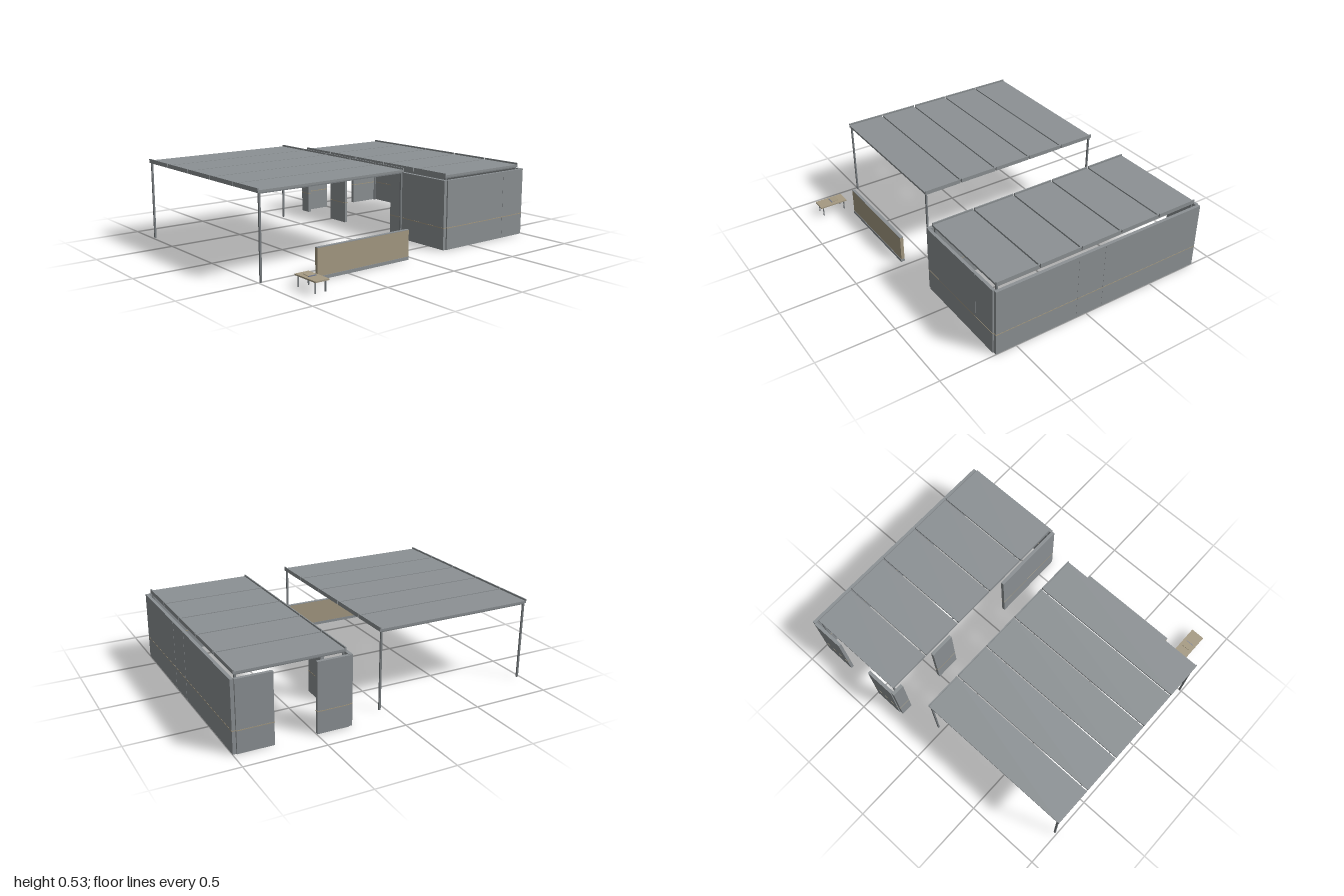
import * as THREE from 'three';

const mat = (name, color) => {
  const m = new THREE.MeshStandardMaterial({ color });
  m.name = name;
  return m;
};

export function createModel() {
  const model = new THREE.Group();
  model.name = 'pavilion';
  const panelGrey = mat('panelGrey', 0x8c9194);
  const frameGrey = mat('frameGrey', 0x7b8083);
  const tan = mat('tan', 0xa59a82);
  const blueGrey = mat('blueGrey', 0x7c8296);

  const group = (name) => {
    const g = new THREE.Group();
    g.name = name;
    model.add(g);
    return g;
  };

  // Box given by its low and high corners
  const box = (parent, name, m, x0, x1, y0, y1, z0, z1) => {
    const mesh = new THREE.Mesh(new THREE.BoxGeometry(x1 - x0, y1 - y0, z1 - z0), m);
    mesh.position.set((x0 + x1) / 2, (y0 + y1) / 2, (z0 + z1) / 2);
    mesh.name = name;
    parent.add(mesh);
    return mesh;
  };

  // Wall panel with a thin tan stripe around it
  const H = 0.44, e = 0.001;
  const wall = (name, x0, x1, z0, z1) => {
    const g = group(name);
    box(g, 'panel', panelGrey, x0, x1, 0, H, z0, z1);
    box(g, 'stripe', tan, x0 - e, x1 + e, 0.1375, 0.1425, z0 - e, z1 + e);
    return g;
  };

  const back = wall('backWall', -0.86, 0.637, -0.999, -0.978);
  for (const x of [0.07, -0.12]) box(back, 'seam', panelGrey, x - 0.002, x + 0.002, 0, H, -1, -0.998);
  const side = wall('leftWall', 0.624, 0.644, -0.976, -0.296);
  box(side, 'seam', panelGrey, 0.643, 0.645, 0.02, H, -0.804, -0.8);
  wall('rightWallRear', -0.866, -0.845, -0.976, -0.755);
  wall('rightWallFront', -0.866, -0.845, -0.495, -0.296);
  for (const [x0, x1] of [[-0.86, -0.78], [-0.51, -0.345], [0.139, 0.637]]) {
    wall('frontWall', x0, x1, -0.294, -0.272);
  }

  // Roof of five sheets with raised end lips, on two cross beams and four posts
  const roof = (name, x0, x1, z0, z1, y, lipTop, gap, beamInset) => {
    const g = group(name);
    const n = 5, pitch = (x1 - x0 + gap) / n;
    for (let i = 0; i < n; i++) {
      const a = x0 + i * pitch, b = a + pitch - gap;
      box(g, 'roofSheet', panelGrey, a, b, y, y + 0.013, z0, z1);
      for (const z of [z0, z1 - 0.007]) box(g, 'endLip', panelGrey, a, b, y - 0.002, lipTop, z, z + 0.007);
    }
    for (const z of [z0 + beamInset, z1 - beamInset]) {
      box(g, 'crossBeam', frameGrey, x0 + 0.01, x1 - 0.01, y - 0.008, y, z - 0.003, z + 0.003);
    }
    for (const x of [x0 + 0.01, x1 - 0.01]) {
      box(g, 'sideBeam', frameGrey, x - 0.005, x + 0.005, y - 0.008, y, z0 + 0.008, z1 - 0.008);
      for (const z of [z0 + 0.014, z1 - 0.014]) {
        box(g, 'post', frameGrey, x - 0.005, x + 0.005, 0, y, z - 0.006, z + 0.006);
      }
    }
  };
  roof('canopyRoof', -0.775, 0.512, -0.05, 0.998, 0.502, 0.526, 0.009, 0.05);
  roof('roomRoof', -0.833, 0.615, -0.97, -0.3, 0.454, 0.478, 0.01, 0.05);

  // Low tan screen with grey cap and base
  const screen = group('screen');
  box(screen, 'screenPanel', tan, 0.638, 0.66, 0.02, 0.182, 0.04, 0.715);
  box(screen, 'screenCap', panelGrey, 0.638, 0.66, 0.182, 0.185, 0.04, 0.715);
  box(screen, 'screenBase', panelGrey, 0.637, 0.663, 0, 0.02, 0.04, 0.715);

  // Table with a small tilted tablet
  const table = group('table');
  box(table, 'tableTop', tan, 0.678, 0.866, 0.065, 0.073, 0.79, 0.883);
  for (const x of [0.695, 0.847]) {
    for (const z of [0.803, 0.871]) {
      box(table, 'tableLeg', frameGrey, x - 0.003, x + 0.003, 0, 0.065, z - 0.003, z + 0.003);
    }
  }
  const tablet = box(table, 'tablet', tan, 0.73, 0.775, 0.077, 0.08, 0.811, 0.863);
  tablet.rotation.z = -0.1;
  box(table, 'tabletStand', blueGrey, 0.774, 0.778, 0.073, 0.079, 0.811, 0.863);

  return model;
}
